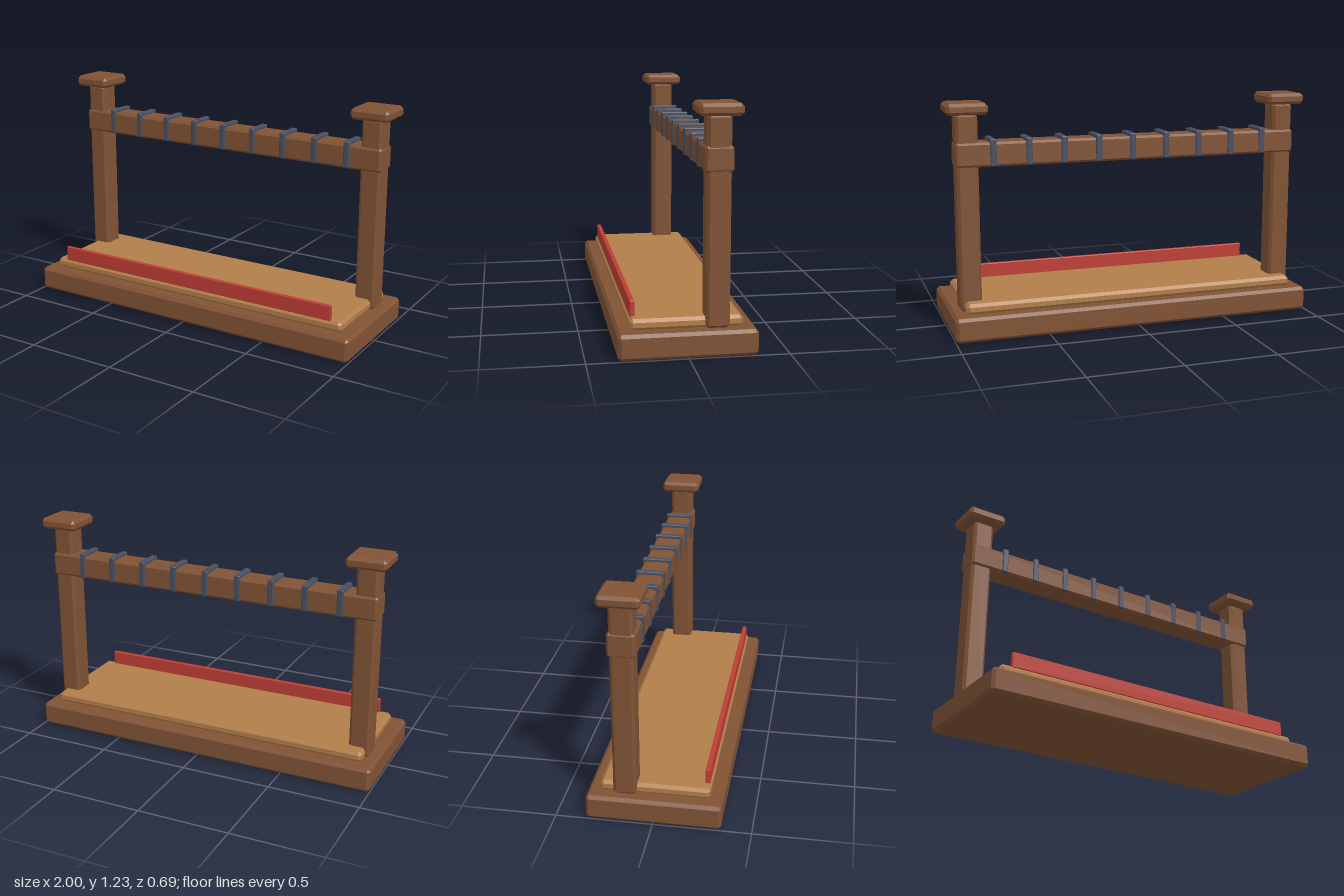
import * as THREE from 'three';
import { ConvexGeometry } from 'three/addons/geometries/ConvexGeometry.js';

const material = (name, color) => {
  const m = new THREE.MeshStandardMaterial({ color });
  m.name = name;
  return m;
};

// Box with every edge cut at 45 degrees by c
function chamferBox(w, h, d, c) {
  const points = [];
  for (const x of [-1, 1]) for (const y of [-1, 1]) for (const z of [-1, 1]) {
    for (let axis = 0; axis < 3; axis++) {
      const inset = [c, c, c];
      inset[axis] = 0;
      points.push(new THREE.Vector3(
        x * (w / 2 - inset[0]), y * (h / 2 - inset[1]), z * (d / 2 - inset[2])));
    }
  }
  return new ConvexGeometry(points);
}

export function createModel() {
  const model = new THREE.Group();
  model.name = 'displayStand';

  const wood = material('dark wood', 0x805234);
  const lightWood = material('light wood', 0xb27e4a);
  const red = material('red trim', 0xbe3e35);
  const iron = material('blue grey iron', 0x484e60);

  // Place a chamfered box by its extents
  function add(name, mat, [x0, x1], [y0, y1], [z0, z1], chamfer) {
    const mesh = new THREE.Mesh(chamferBox(x1 - x0, y1 - y0, z1 - z0, chamfer), mat);
    mesh.position.set((x0 + x1) / 2, (y0 + y1) / 2, (z0 + z1) / 2);
    mesh.name = name;
    model.add(mesh);
  }

  // Plinth, deck and front lip
  add('base', wood, [-1, 1], [0, 0.13], [-0.345, 0.345], 0.016);
  add('deck', lightWood, [-0.93, 0.93], [0.128, 0.185], [-0.28, 0.28], 0.016);
  add('frontLip', red, [-0.865, 0.865], [0.18, 0.262], [0.249, 0.273], 0.003);

  // Posts with square caps
  for (const [side, s] of [['left', 1], ['right', -1]]) {
    const x = s * 0.893;
    add(side + 'Post', wood, [x - 0.058, x + 0.058], [0.128, 1.172], [-0.21, -0.09], 0.015);
    add(side + 'Cap', wood, [x - 0.107, x + 0.107], [1.168, 1.228], [-0.257, -0.043], 0.016);
  }

  // Crossbeam and its iron bands
  add('crossbeam', wood, [-0.955, 0.955], [0.895, 1.023], [-0.22, -0.08], 0.012);
  for (let i = 0; i < 9; i++) {
    const x = (i - 4) * 0.19;
    add('band' + (i + 1), iron, [x - 0.017, x + 0.017], [0.897, 1.04], [-0.227, -0.074], 0.005);
  }

  return model;
}
